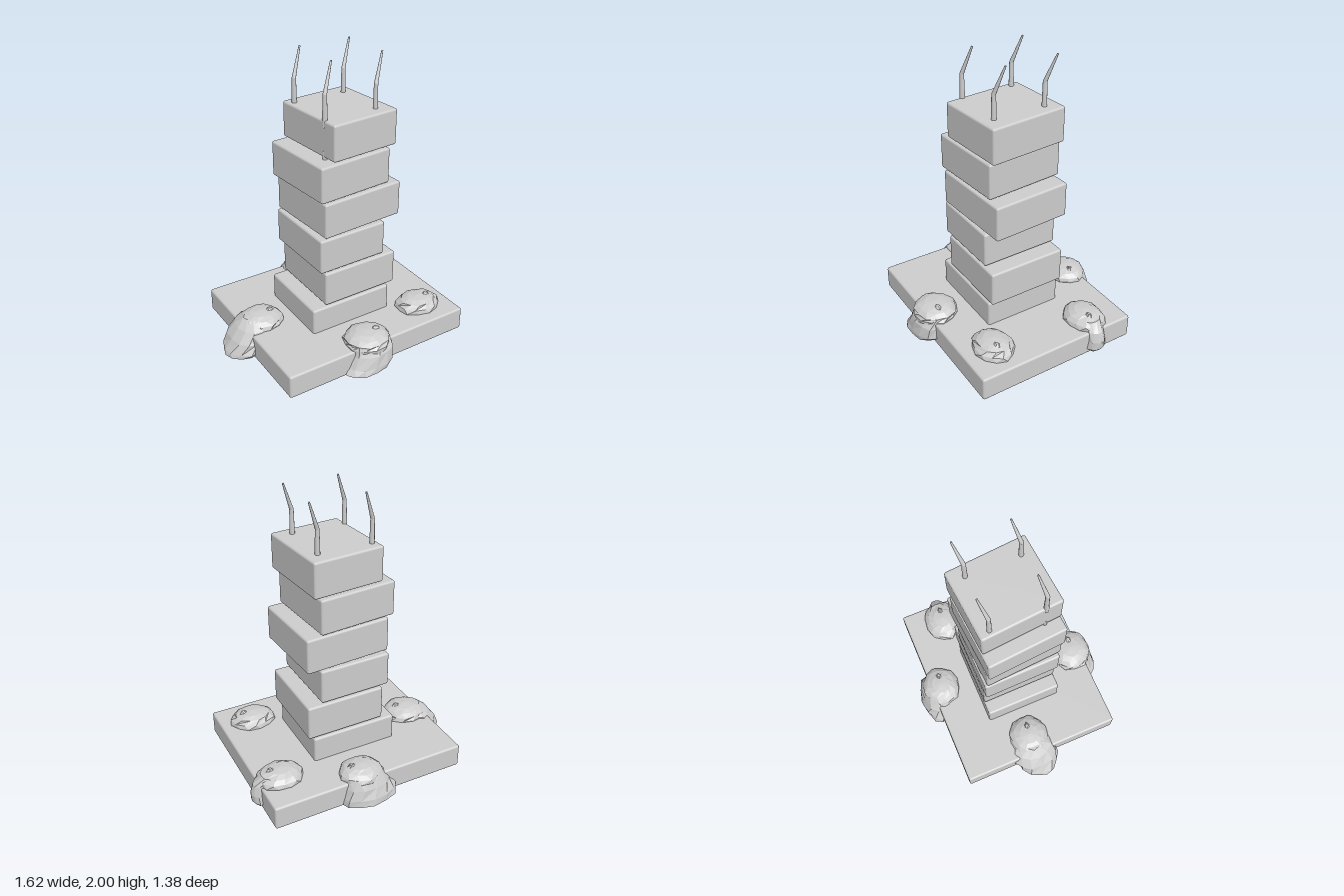
import * as THREE from 'three';
import { RoundedBoxGeometry } from 'three/addons/geometries/RoundedBoxGeometry.js';

const stone = new THREE.MeshStandardMaterial({ color: 0xcccccc });
stone.name = 'stone grey';

function add(parent, name, geometry, x = 0, y = 0, z = 0, ry = 0) {
  const mesh = new THREE.Mesh(geometry, stone);
  mesh.name = name;
  mesh.position.set(x, y, z);
  mesh.rotation.y = ry;
  parent.add(mesh);
  return mesh;
}

// Faceted closed loft through elliptical rings [y, cx, cz, rx, rz], bottom to top
function loft(rings, seed, sides = 12) {
  const pos = [], idx = [];
  rings.forEach(([y, cx, cz, rx, rz], r) => {
    for (let i = 0; i < sides; i++) {
      const a = ((i + 0.3 * Math.sin(r * 2 + seed)) / sides) * Math.PI * 2;
      const k = 0.98 + 0.04 * Math.sin(i * 2.7 + r * 1.3 + seed * 3);
      pos.push(cx + Math.cos(a) * rx * k, y, cz + Math.sin(a) * rz * k);
    }
  });
  const last = rings.length - 1;
  for (let r = 0; r < last; r++) {
    for (let i = 0; i < sides; i++) {
      const a = r * sides + i, b = r * sides + ((i + 1) % sides);
      idx.push(a, a + sides, b, b, a + sides, b + sides);
    }
  }
  const bottom = pos.length / 3, top = bottom + 1;
  pos.push(rings[0][1], rings[0][0], rings[0][2]);
  pos.push(rings[last][1], rings[last][0] + 0.003, rings[last][2]);
  for (let i = 0; i < sides; i++) {
    const j = (i + 1) % sides;
    idx.push(bottom, i, j, top, last * sides + j, last * sides + i);
  }
  const g = new THREE.BufferGeometry();
  g.setAttribute('position', new THREE.Float32BufferAttribute(pos, 3));
  g.setIndex(idx);
  const flat = g.toNonIndexed();
  flat.computeVertexNormals();
  return flat;
}

// Tapered rod between two points
function rod(parent, name, a, b, ra, rb) {
  const dir = b.clone().sub(a);
  const mesh = add(parent, name, new THREE.CylinderGeometry(rb, ra, dir.length(), 10));
  mesh.position.copy(a).add(b).multiplyScalar(0.5);
  mesh.quaternion.setFromUnitVectors(new THREE.Vector3(0, 1, 0), dir.normalize());
}

export function createModel() {
  const model = new THREE.Group();
  model.name = 'stackedTower';

  add(model, 'base', new RoundedBoxGeometry(1.4, 0.168, 1.172, 2, 0.015), 0.05, 0.086, -0.002);

  // Tower blocks: width, bottom, top, centre x, centre z, twist
  const tower = new THREE.Group();
  tower.name = 'tower';
  model.add(tower);
  [
    [0.61, 0.11, 0.35, 0.015, 0.003, 0],
    [0.56, 0.365, 0.61, 0.083, 0.003, 0.008],
    [0.505, 0.625, 0.868, 0.015, 0.004, 0.016],
    [0.607, 0.885, 1.13, 0.08, 0.004, 0.062],
    [0.546, 1.142, 1.388, 0.015, 0.004, 0.08],
    [0.5, 1.402, 1.647, 0.083, 0.003, 0.082],
  ].forEach(([w, y0, y1, x, z, ry]) =>
    add(tower, 'block', new RoundedBoxGeometry(w, y1 - y0, 0.555, 2, 0.015), x, (y0 + y1) / 2, z, ry));
  add(tower, 'core', new THREE.BoxGeometry(0.2, 1.0, 0.2), 0.05, 0.75, 0);

  // Bent rods on the roof, with pegs showing in the gap under the top block
  for (const x of [-0.14, 0.235]) {
    for (const z of [-0.183, 0.183]) {
      const antenna = new THREE.Group();
      antenna.name = 'antenna';
      model.add(antenna);
      const foot = new THREE.Vector3(x, 1.6, z);
      const knee = new THREE.Vector3(x, 1.81, z);
      const tip = new THREE.Vector3(x + 0.068, 2.0, z - 0.038);
      rod(antenna, 'lowerRod', foot, knee, 0.018, 0.014);
      add(antenna, 'joint', new THREE.SphereGeometry(0.014, 10, 6), knee.x, knee.y, knee.z);
      rod(antenna, 'upperRod', knee, tip, 0.014, 0.006);
      add(antenna, 'peg', new THREE.CylinderGeometry(0.016, 0.016, 0.1, 10), x > 0 ? 0.185 : x, 1.395, z);
    }
  }

  // Mounds on the base: centre x, z, radii, and the rings of the flow over the edge
  [
    ['frontMound', -0.02, 0.51, 0.165, 0.155, [
      [0.012, -0.07, 0.58, 0.17, 0.11], [0.05, -0.035, 0.58, 0.175, 0.105],
      [0.13, -0.015, 0.57, 0.155, 0.1], [0.2, -0.02, 0.53, 0.15, 0.11], [0.225, -0.02, 0.51, 0.1, 0.08]]],
    ['leftMound', -0.515, -0.055, 0.16, 0.148, [
      [0.012, -0.68, -0.03, 0.13, 0.13], [0.04, -0.66, -0.04, 0.14, 0.16],
      [0.11, -0.64, -0.055, 0.115, 0.17], [0.18, -0.585, -0.055, 0.115, 0.145], [0.23, -0.54, -0.055, 0.1, 0.08]]],
    ['backMound', 0.1, -0.515, 0.155, 0.14, [
      [0.012, 0.07, -0.59, 0.2, 0.105], [0.06, 0.07, -0.59, 0.195, 0.1],
      [0.13, 0.085, -0.57, 0.17, 0.1], [0.2, 0.1, -0.53, 0.14, 0.11], [0.225, 0.1, -0.515, 0.1, 0.08]]],
    ['rightMound', 0.595, -0.31, 0.165, 0.138, [
      [0.015, 0.73, -0.305, 0.05, 0.055], [0.04, 0.74, -0.305, 0.06, 0.075],
      [0.1, 0.745, -0.305, 0.06, 0.065], [0.17, 0.72, -0.305, 0.065, 0.065], [0.225, 0.66, -0.31, 0.07, 0.07]]],
    ['cornerMound', 0.515, 0.37, 0.168, 0.138, null],
  ].forEach(([name, x, z, rx, rz, flow], n) => {
    const mound = new THREE.Group();
    mound.name = name;
    model.add(mound);
    const dome = [[0.12, 0.94], [0.175, 1], [0.2, 0.95], [0.225, 0.76], [0.242, 0.48], [0.247, 0.2]];
    add(mound, 'dome', loft(dome.map(([y, s]) => [y, x, z, rx * s, rz * s]), n));
    if (flow) add(mound, 'flow', loft(flow, n + 5));
    // Small ragged crest
    add(mound, 'crest', loft([[0.235, x + 0.06, z + 0.01, 0.035, 0.025], [0.255, x + 0.065, z + 0.01, 0.012, 0.01]], n, 6));
  });

  return model;
}
